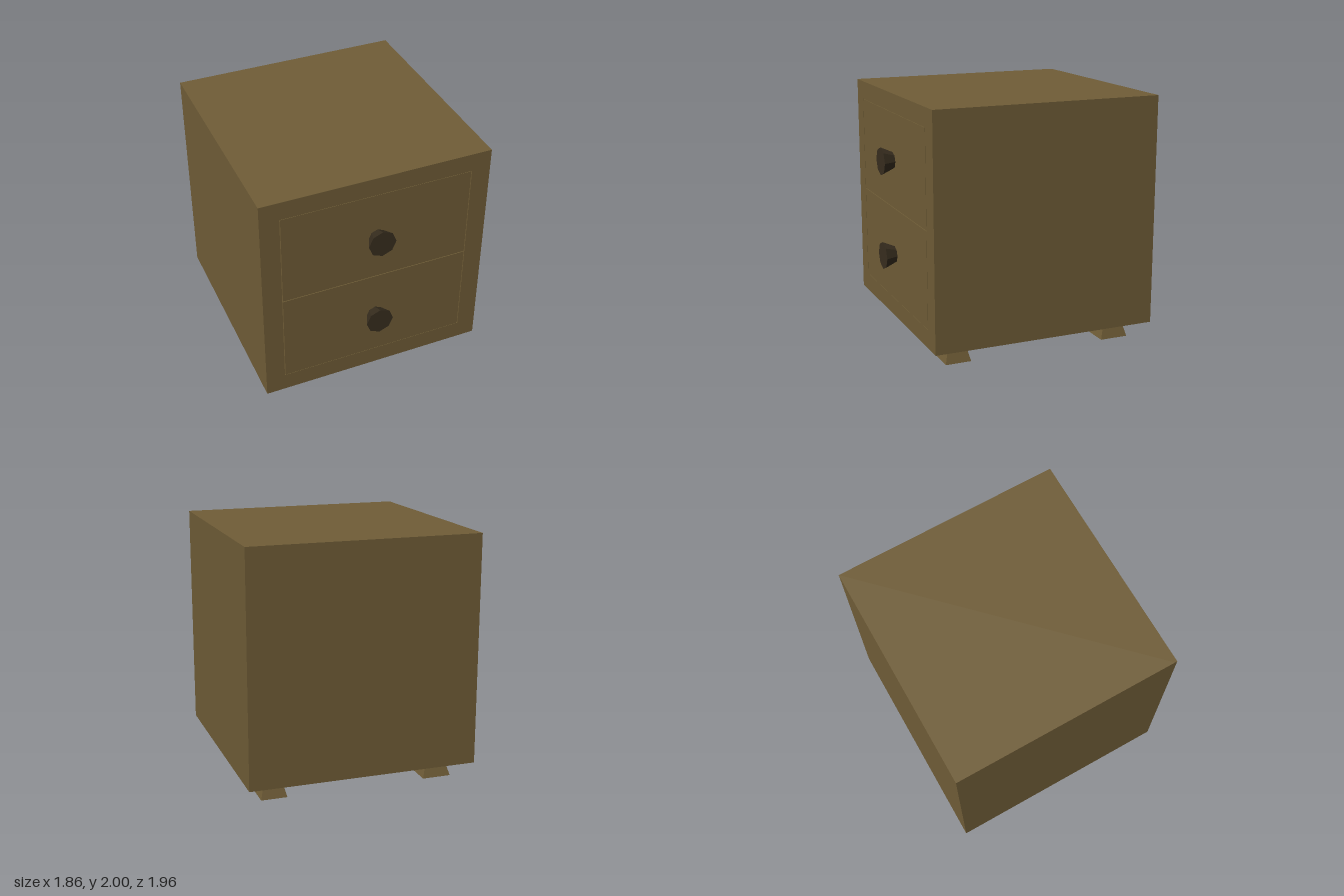
import * as THREE from 'three';

const wood = new THREE.MeshStandardMaterial({ color: 0x705d37, flatShading: true });
const darkWood = new THREE.MeshStandardMaterial({ color: 0x382e1f, flatShading: true });

const WIDTH = 1.86, BOTTOM = 0.145, TOP = 2;
const BACK = -0.98, FRONT = 0.88, RECESS = 0.02;
const OPENING = { x: 0.775, bottom: 0.295, top: 1.85 };
const GAP = 0.006;

function add(parent, name, geometry, material, x, y, z) {
  const mesh = new THREE.Mesh(geometry, material);
  mesh.name = name;
  mesh.position.set(x, y, z);
  parent.add(mesh);
  return mesh;
}

function rectangle(PathType, x, y0, y1) {
  return new PathType([[-x, y0], [x, y0], [x, y1], [-x, y1]].map(p => new THREE.Vector2(...p)));
}

// Four-sided foot that widens toward the floor
function footGeometry(width, depth) {
  const geometry = new THREE.CylinderGeometry(0.65 * Math.SQRT1_2, Math.SQRT1_2, BOTTOM, 4);
  geometry.rotateY(Math.PI / 4);
  geometry.scale(width, 1, depth);
  return geometry;
}

export function createModel() {
  const model = new THREE.Group();
  model.name = 'nightstand';

  // Cabinet body, with a front frame around the drawer opening
  const depth = FRONT - RECESS - BACK;
  add(model, 'cabinet', new THREE.BoxGeometry(WIDTH, TOP - BOTTOM, depth), wood,
    0, (TOP + BOTTOM) / 2, BACK + depth / 2);
  const frame = rectangle(THREE.Shape, WIDTH / 2, BOTTOM, TOP);
  frame.holes.push(rectangle(THREE.Path, OPENING.x, OPENING.bottom, OPENING.top));
  add(model, 'frontFrame', new THREE.ExtrudeGeometry(frame, { depth: RECESS, bevelEnabled: false }),
    wood, 0, 0, FRONT - RECESS);

  // Two flush drawers, each with a flared octagonal knob
  const drawerHeight = (OPENING.top - OPENING.bottom) / 2;
  ['lower', 'upper'].forEach((level, i) => {
    const drawer = new THREE.Group();
    drawer.name = level + 'Drawer';
    drawer.position.y = OPENING.bottom + drawerHeight * (i + 0.5);
    add(drawer, 'drawerFront',
      new THREE.BoxGeometry(2 * (OPENING.x - GAP), drawerHeight - GAP, RECESS),
      wood, 0, 0, FRONT - RECESS / 2);
    const knob = new THREE.CylinderGeometry(0.113, 0.068, 0.1, 8).rotateX(Math.PI / 2);
    add(drawer, 'knob', knob, darkWood, 0, 0, FRONT + 0.05);
    model.add(drawer);
  });

  // Four feet, slightly off the cabinet's centre lines
  for (const [side, x, width] of [['Left', 0.695, 0.21], ['Right', -0.67, 0.235]]) {
    for (const [end, z, footDepth] of [['front', 0.645, 0.21], ['back', -0.72, 0.235]]) {
      add(model, end + side + 'Foot', footGeometry(width, footDepth), wood, x, BOTTOM / 2, z);
    }
  }
  return model;
}
